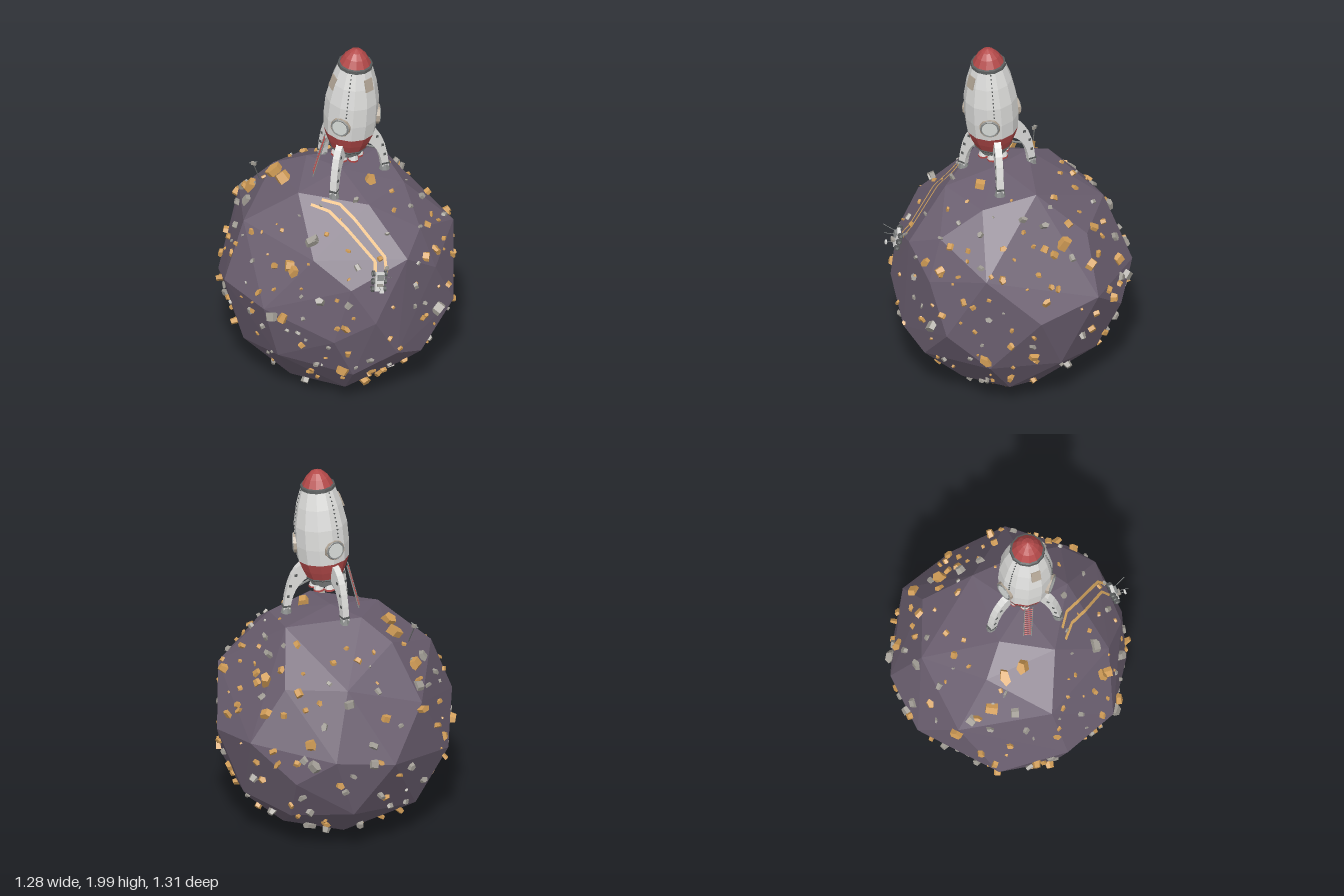
import * as THREE from 'three';
import { mergeGeometries } from 'three/addons/utils/BufferGeometryUtils.js';
import { ConvexGeometry } from 'three/addons/geometries/ConvexGeometry.js';

const paint = (name, color) => Object.assign(new THREE.MeshStandardMaterial({ color }), { name });
const V = (x, y, z) => new THREE.Vector3(x, y, z);

export function createModel() {
  const stone = paint('purple stone', 0x6b5f70), gold = paint('gold rock', 0xd09c56), grey = paint('grey rock', 0x9f9b93);
  const white = paint('white hull', 0xdcdcda), red = paint('red paint', 0xb54a4a), dark = paint('dark metal', 0x5a5d5d);
  const steel = paint('steel', 0x8a8d8c), glass = paint('pale glass', 0xd8dcd9), tan = paint('tan panel', 0xb5a898);
  const trail = paint('orange trail', 0xdcab62);

  const model = new THREE.Group();
  const flat = (g) => {
    const f = g.index ? g.toNonIndexed() : g;
    f.computeVertexNormals();
    return f;
  };
  const add = (parent, name, geo, mat, x = 0, y = 0, z = 0) => {
    const m = new THREE.Mesh(flat(geo), mat);
    m.name = name;
    m.position.set(x, y, z);
    parent.add(m);
    return m;
  };
  const group = (parent, name) => {
    const g = new THREE.Group();
    g.name = name;
    parent.add(g);
    return g;
  };
  const box = (w, h, d) => new THREE.BoxGeometry(w, h, d);
  const rod = (parent, name, a, b, r, mat) => {
    const m = add(parent, name, new THREE.CylinderGeometry(r, r, a.distanceTo(b), 5), mat);
    m.position.copy(a).lerp(b, 0.5);
    m.quaternion.setFromUnitVectors(V(0, 1, 0), b.clone().sub(a).normalize());
  };

  // Asteroid: faceted convex hull, corners listed from the top down
  const corners = [
    .1, 1.2, -.28, .33, 1.15, -.1, .27, 1.16, .19, -.1, 1.18, .28, -.38, 1.13, .01, -.19, 1.225, 0, .03, 1.225, .03,
    -.05, .97, -.5, .5, 1, .05, .52, .92, .24, .1, .94, .5, -.37, .985, .38, -.61, .87, -.05, -.36, 1, -.37,
    .06, .69, -.66, .37, .62, -.52, .53, .87, -.28, .625, .51, -.09, .59, .78, .05, .43, .6, .43, .31, .8, .48,
    .24, .49, .54, -.13, .645, .625, -.425, .665, .495, -.615, .5, .185, -.605, .6, -.285, -.4, .65, -.53, -.2, .5, -.61,
    -.5, .2, .05, -.37, .25, .38, -.09, .32, .54, .3, .25, .44, .54, .285, .12, .49, .36, .3, .5, .32, -.28, .2, .3, -.52,
    -.1, .25, -.52, -.42, .3, -.4, -.22, .045, .1, 0, .01, .17, .17, .01, 0, -.04, .015, -.05, .37, .1, 0, .2, .08, .33,
    -.12, .07, .33, .1, .06, -.3, -.25, .09, -.25, .33, .12, -.28];
  const points = [];
  for (let i = 0; i < corners.length; i += 3) points.push(V(...corners.slice(i, i + 3)));
  const asteroid = add(model, 'asteroid', new ConvexGeometry(points), stone);

  // Finds the ground point and its normal in a direction from the asteroid's centre
  const centre = V(0, .62, 0), ray = new THREE.Raycaster();
  const ground = (dir) => {
    const d = dir.clone().normalize();
    ray.set(centre.clone().addScaledVector(d, 2), d.clone().negate());
    const hit = ray.intersectObject(asteroid)[0];
    return { p: hit.point, n: hit.face.normal.clone() };
  };

  // Rocks: evenly scattered small chips plus larger ones placed by hand
  let seed = 7;
  const rand = () => (seed = (seed * 16807) % 2147483647) / 2147483647;
  const rocks = [[], []];
  const addRock = (dir, size, kind) => {
    const { p, n } = ground(dir);
    const g = flat(new THREE.CylinderGeometry(.4 + rand() * .25, .6, 1, 5));
    g.scale(size * (.9 + rand() * .5), size * (.7 + rand() * .5), size * (.6 + rand() * .3));
    g.rotateX(rand() * 1.6);
    g.rotateY(rand() * 6.28);
    g.applyQuaternion(new THREE.Quaternion().setFromUnitVectors(V(0, 1, 0), n));
    p.addScaledVector(n, size * .25);
    g.translate(p.x, Math.max(p.y, size * .8), p.z);
    rocks[kind].push(g);
  };
  const count = 190;
  for (let i = 0; i < count; i++) {
    const y = 1 - 2 * (i + .5) / count, r = Math.sqrt(1 - y * y), a = i * 2.39996 + rand() * .5;
    const dir = V(r * Math.cos(a), y + (rand() - .5) * .1, r * Math.sin(a));
    // smaller chips on the sides that carry placed rocks
    const size = .01 + (Math.max(dir.x, dir.y, dir.z) > .6 ? .012 : .032) * Math.sqrt(rand()), kind = rand() < .58 ? 0 : 1;
    if (y < .9) addRock(dir, size, kind);
  }
  const bulge = (u, v) => Math.sqrt(Math.max(0, .385 - u * u - v * v));
  const fromFront = (x, y) => V(x, y - .62, bulge(x, y - .62));
  const fromRight = (z, y) => V(bulge(z, y - .62), y - .62, z);
  const fromTop = (x, z) => V(x, bulge(x, z), z);
  const place = (from, size, kind, list) => list.forEach((q) => addRock(from(...q), size, kind));
  place(fromTop, .055, 0, [[-.48, .08], [-.33, .09], [-.25, .16], [.2, .02], [.1, -.49]]);
  place(fromTop, .032, 0, [[.02, -.445], [.18, -.49], [0, -.32], [-.25, -.47], [-.32, -.21], [.39, -.28], [.27, -.53], [-.2, -.61], [.56, .1]]);
  place(fromTop, .045, 1, [[.15, -.38], [.07, .455], [.17, .585], [-.52, -.37], [-.29, -.57]]);
  place(fromTop, .03, 1, [[-.46, -.23], [.33, .43], [-.55, .1], [.2, .2]]);
  place(fromFront, .045, 0, [[-.41, .35], [-.03, .61], [.58, .86], [.31, .575], [-.03, .9], [.25, .285]]);
  place(fromFront, .028, 0, [[-.18, .71], [-.23, .57], [.05, .19], [.33, .2], [-.47, .47], [-.41, .8], [-.13, .87], [.3, .4], [-.31, .96], [.06, .42]]);
  place(fromFront, .045, 1, [[.06, 1.03], [-.09, .61], [.61, .51]]);
  place(fromFront, .028, 1, [[-.25, .56], [-.17, .49], [-.2, .145], [.32, .72], [-.46, .58], [.12, .29], [-.27, .84]]);
  place(fromRight, .048, 0, [[-.33, .87], [-.26, .38], [.57, .88], [-.58, .84]]);
  place(fromRight, .03, 0, [[-.02, .98], [-.01, .84], [.24, .19], [.11, .19], [-.39, .47], [-.45, .34], [.32, .22], [-.17, .73], [.12, .5], [-.05, .62]]);
  place(fromRight, .03, 1, [[-.29, 1.12], [-.15, 1.06], [-.22, .92], [.4, .34], [0, .29], [-.3, .64], [.2, .74], [-.18, .17]]);
  add(model, 'goldRocks', mergeGeometries(rocks[0]), gold);
  add(model, 'greyRocks', mergeGeometries(rocks[1]), grey);

  // Wheel trails: ribbons laid on the ground
  const makeTrail = (path) => {
    const steps = 60, pos = [], idx = [];
    const samples = [];
    for (let i = 0; i <= steps; i++) {
      const t = i / steps * (path.length - 1), k = Math.min(Math.floor(t), path.length - 2);
      samples.push(ground(V(...path[k]).lerp(V(...path[k + 1]), t - k).sub(centre)));
    }
    samples.forEach(({ p, n }, i) => {
      const t = samples[Math.min(i + 1, steps)].p.clone().sub(samples[Math.max(i - 1, 0)].p);
      const s = t.cross(n).normalize().multiplyScalar(.008), c = p.clone().addScaledVector(n, .006);
      pos.push(...c.clone().sub(s).toArray(), ...c.clone().add(s).toArray());
      const v = i * 2;
      if (i < steps) idx.push(v, v + 1, v + 3, v, v + 3, v + 2);
    });
    const g = new THREE.BufferGeometry();
    g.setAttribute('position', new THREE.Float32BufferAttribute(pos, 3));
    g.setIndex(idx);
    add(model, 'wheelTrail', g, trail);
  };
  makeTrail([[.03, 1.17, .265], [.13, 1.165, .25], [.43, .95, .307], [.46, .88, .345]]);
  makeTrail([[-.015, 1.155, .307], [.092, 1.14, .3], [.39, .93, .345], [.415, .87, .39]]);

  // Rover standing on the slope, nose pointing downhill
  const rover = group(model, 'rover');
  const spot = ground(V(.44, .23, .395));
  const side = spot.n.clone().cross(V(.2, -.8, .4)).normalize();
  rover.quaternion.setFromRotationMatrix(new THREE.Matrix4().makeBasis(side, spot.n, side.clone().cross(spot.n)));
  rover.position.copy(spot.p);
  add(rover, 'roverBody', box(.045, .018, .1), white, 0, .026, 0);
  add(rover, 'roverDeck', box(.032, .012, .03), steel, 0, .041, -.025);
  add(rover, 'roverSeat', box(.032, .02, .012), grey, 0, .044, .015);
  for (const s of [-1, 1]) {
    for (const z of [-.042, 0, .042]) {
      add(rover, 'roverWheel', new THREE.CylinderGeometry(.017, .017, .012, 8).rotateZ(Math.PI / 2), dark, s * .033, .017, z);
      add(rover, 'roverHub', box(.014, .014, .014), steel, s * .033, .017, z);
    }
    rod(rover, 'roverAntenna', V(s * .012, .03, -.03), V(s * .035, .11, -.05), .0015, steel);
  }
  rod(rover, 'roverMast', V(0, .03, .03), V(0, .075, .04), .002, steel);
  add(rover, 'roverCamera', box(.022, .01, .014), white, 0, .075, .04);

  // Beacon on the left shoulder
  const beacon = group(model, 'beacon');
  rod(beacon, 'beaconPole', V(-.4, 1.09, .13), V(-.435, 1.19, .14), .003, dark);
  rod(beacon, 'beaconArm', V(-.455, 1.18, .14), V(-.41, 1.2, .14), .003, steel);
  add(beacon, 'beaconHead', box(.025, .018, .012), grey, -.43, 1.185, .14);

  // Rocket, leaning a little to its left
  const rocket = group(model, 'rocket');
  rocket.position.set(.06, 1.3, .03);
  rocket.rotation.z = -.082;
  const lathe = (name, mat, profile) => add(rocket, name, new THREE.LatheGeometry(profile.map((q) => new THREE.Vector2(...q)), 12), mat);
  lathe('engineBay', steel, [[0, .05], [.072, .05], [.085, .075], [.098, .1]]);
  lathe('redSkirt', red, [[.096, .095], [.118, .145], [.137, .2]]);
  const hull = [[.137, .2], [.144, .29], [.141, .4], [.12, .51], [.09, .605]];
  lathe('hull', white, hull);
  lathe('noseCollar', dark, [[.088, .597], [.094, .6], [.092, .616], [.08, .62]]);
  lathe('noseCone', red, [[.083, .618], [.06, .66], [.033, .688], [0, .702]]);
  lathe('skirtSeam', dark, [[.098, .09], [.102, .095], [.1, .101]]);
  const hullRadius = (y) => {
    const k = Math.max(0, hull.findIndex((q) => q[1] > y) - 1);
    return THREE.MathUtils.mapLinear(y, hull[k][1], hull[k + 1][1], hull[k][0], hull[k + 1][0]);
  };
  // Engine nozzles
  for (let i = 0; i < 6; i++) {
    const a = i * Math.PI / 3, x = .058 * Math.sin(a), z = .058 * Math.cos(a);
    add(rocket, 'nozzle', new THREE.CylinderGeometry(.018, .028, .03, 8), white, x, .046, z);
    add(rocket, 'nozzleRim', new THREE.CylinderGeometry(.029, .029, .01, 8), red, x, .028, z);
  }
  // Portholes and rivet rows, three of each around the hull
  const deg = THREE.MathUtils.degToRad;
  const disc = (r, d) => new THREE.CylinderGeometry(r, r, d, 10).rotateX(Math.PI / 2);
  for (let i = 0; i < 3; i++) {
    const port = group(rocket, 'porthole');
    port.rotation.y = deg(4 + 120 * i);
    add(port, 'portholeRim', disc(.055, .024), tan, 0, .285, .136);
    add(port, 'portholeRing', new THREE.TorusGeometry(.046, .007, 5, 10), steel, 0, .285, .147);
    add(port, 'portholeGlass', disc(.042, .008), glass, 0, .285, .148);

    const rivets = group(rocket, 'rivets');
    rivets.rotation.y = deg(15 + 120 * i);
    for (let y = .35; y < .6; y += .022) add(rivets, 'rivet', box(.006, .006, .006), dark, 0, y, hullRadius(y) - .002);
  }
  // Two tan hatches below the nose
  for (const [angle, y] of [[-42, .51], [70, .53]]) {
    const hatch = group(rocket, 'hatch');
    hatch.rotation.y = deg(angle);
    add(hatch, 'hatchPanel', box(.052, .07, .008), tan, 0, y, hullRadius(y) - .002).rotation.x = -.29;
  }

  // Three curved landing legs
  const legShape = new THREE.Shape();
  legShape.moveTo(.09, 1.5);
  legShape.quadraticCurveTo(.2, 1.48, .222, 1.22);
  legShape.lineTo(.185, 1.22);
  legShape.quadraticCurveTo(.17, 1.36, .09, 1.4);
  const legGeo = new THREE.ExtrudeGeometry(legShape, { depth: .036, bevelEnabled: false, curveSegments: 6 }).translate(0, 0, -.018);
  for (const [angle, out, drop] of [[3, -.015, -.03], [138, 0, -.01], [244, .02, 0]]) {
    const leg = group(model, 'landingLeg');
    leg.position.set(.07, drop, .03);
    leg.rotation.y = deg(angle - 90);
    add(leg, 'legStrut', legGeo, white, out);
    add(leg, 'legFoot', new THREE.CylinderGeometry(.022, .03, .03, 8), steel, out + .203, 1.215);
    add(leg, 'legAnkle', box(.042, .01, .04), dark, out + .204, 1.24);
    for (const [x, y] of [[.155, 1.42], [.185, 1.36], [.197, 1.3]]) add(leg, 'legBolt', box(.014, .014, .042), dark, out + x, y);
    rod(leg, 'legBrace', V(.07, 1.38, 0), V(out + .18, 1.33, 0), .006, steel);
  }

  // Ladder from the skirt to the ground
  const ladder = group(model, 'ladder');
  const top = V(-.03, 1.45, .1), foot = V(-.095, 1.2, .12);
  for (const s of [-.018, .018]) rod(ladder, 'ladderRail', top.clone().add(V(s * .6, 0, s)), foot.clone().add(V(s * .6, 0, s)), .0035, steel);
  for (let i = 1; i < 14; i++) {
    const c = top.clone().lerp(foot, i / 14);
    rod(ladder, 'ladderRung', c.clone().add(V(-.011, 0, -.018)), c.clone().add(V(.011, 0, .018)), .0035, red);
  }
  return model;
}
